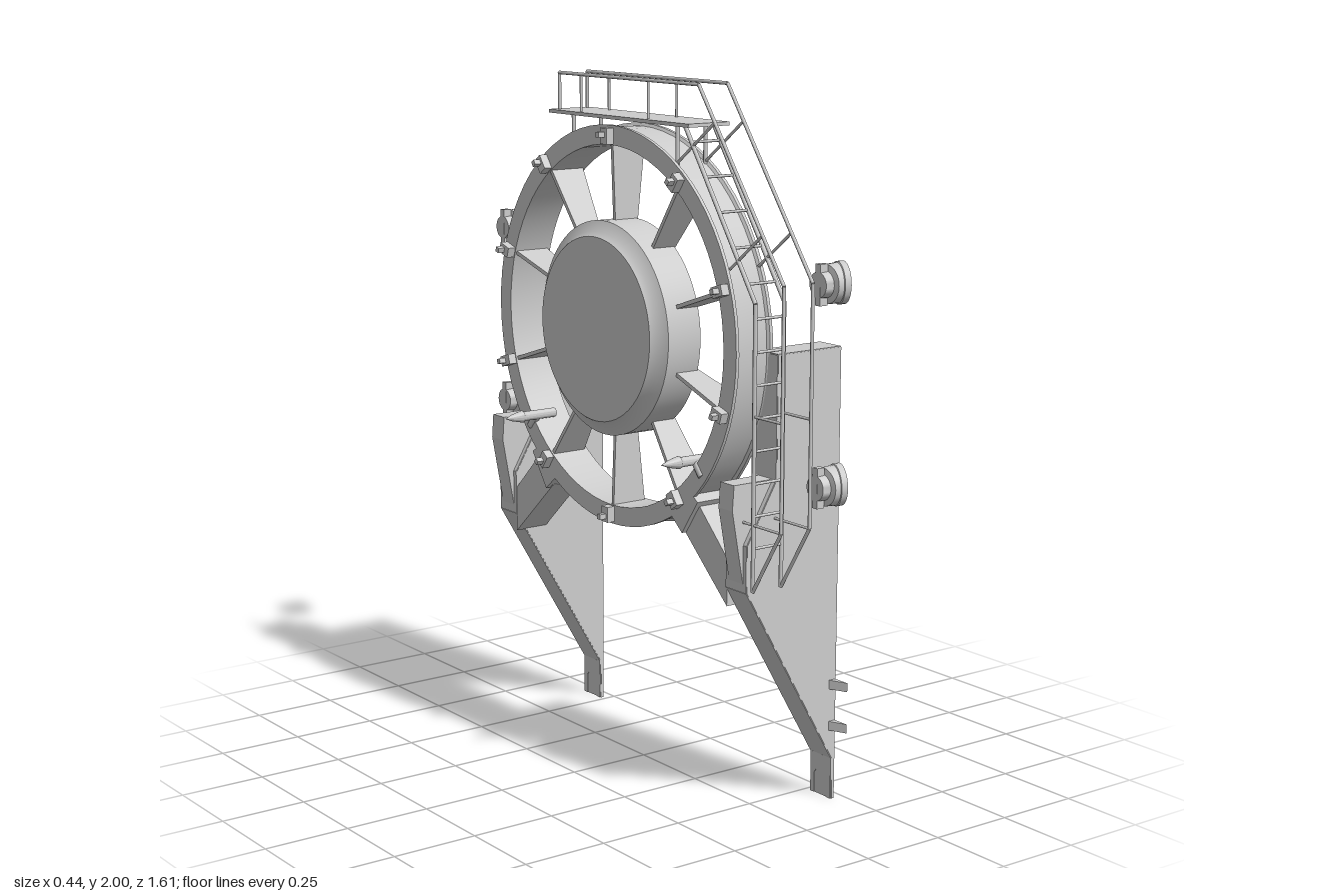
import * as THREE from 'three';
import { toCreasedNormals } from 'three/addons/utils/BufferGeometryUtils.js';

const CY = 1.295; // height of the wheel axis

export function createModel() {
  const root = new THREE.Group();
  const grey = new THREE.MeshStandardMaterial({ color: 0xcccccc, side: THREE.DoubleSide });
  grey.name = 'light grey';

  const group = (name) => {
    const g = new THREE.Group();
    g.name = name;
    root.add(g);
    return g;
  };
  const add = (parent, name, geo, x = 0, y = 0, z = 0) => {
    const m = new THREE.Mesh(geo, grey);
    m.name = name;
    m.position.set(x, y, z);
    parent.add(m);
    return m;
  };
  const box = (parent, name, w, h, d, x, y, z) => add(parent, name, new THREE.BoxGeometry(w, h, d), x, y, z);
  const extrude = (pts, depth) => new THREE.ExtrudeGeometry(
    new THREE.Shape(pts.map(([a, b]) => new THREE.Vector2(a, b))), { depth, bevelEnabled: false });
  // outline in x,y with thickness centred on z
  const sideways = (pts, depth) => extrude(pts, depth).translate(0, 0, -depth / 2);
  // outline in z,y running from x0 to x1
  const across = (pts, x0, x1) => extrude(pts, x1 - x0).rotateY(-Math.PI / 2).translate(x1, 0, 0);
  // [radius, x] profile turned around the x axis
  const turned = (pts, seg) => toCreasedNormals(
    new THREE.LatheGeometry(pts.map(([r, x]) => new THREE.Vector2(r, x)), seg).rotateZ(-Math.PI / 2), 0.5);
  const rod = (parent, name, a, b, r = 0.005) => {
    const p = new THREE.Vector3(...a), q = new THREE.Vector3(...b);
    const m = add(parent, name, new THREE.CylinderGeometry(r, r, p.distanceTo(q), 8));
    m.position.copy(p).add(q).multiplyScalar(0.5);
    m.quaternion.setFromUnitVectors(new THREE.Vector3(0, 1, 0), q.sub(p).normalize());
  };

  // Outer ring with thin lips at both edges
  const wheel = group('wheel');
  add(wheel, 'ring', turned([[0.515, -0.115], [0.57, -0.115], [0.57, -0.105], [0.562, -0.1], [0.562, -0.005],
    [0.57, 0], [0.57, 0.01], [0.515, 0.01], [0.515, -0.115]], 72), 0, CY, 0);

  // Hub: drum open towards +x
  add(wheel, 'hub', turned([[0, -0.172], [0.262, -0.172], [0.275, -0.155], [0.305, -0.14], [0.305, -0.03],
    [0.295, -0.03], [0.295, -0.14], [0, -0.15]], 64), 0, CY, 0);

  // Ten tapered struts with a clamp at the rim
  for (let i = 0; i < 10; i++) {
    const s = new THREE.Group();
    s.name = 'strut';
    s.position.y = CY;
    s.rotation.x = i * Math.PI / 5;
    wheel.add(s);
    add(s, 'strutBlade', sideways([[-0.1, 0.25], [-0.03, 0.25], [0, 0.52], [-0.11, 0.52]], 0.011));
    box(s, 'strutFoot', 0.06, 0.05, 0.02, -0.06, 0.275, 0);
    box(s, 'rimClamp', 0.025, 0.045, 0.03, -0.127, 0.54, 0);
    box(s, 'clampBolt', 0.03, 0.015, 0.015, -0.145, 0.545, 0);
  }

  // Hollow pillars, open towards +x
  const profile = [[0.22, 1.29], [0, 1.29], [0, 0.95], [-0.1, 0.78], [-0.1, 0.65], [0.21, 0.12], [0.212, 0], [0.22, 0]];
  for (const s of [1, -1]) {
    const pillar = group(s > 0 ? 'frontPillar' : 'rearPillar');
    pillar.position.z = s * 0.56;
    for (const e of [1, -1]) add(pillar, 'pillarWall', sideways(profile, 0.006), 0, 0, e * 0.042);
    for (let i = 0; i < 6; i++) {
      const [ax, ay] = profile[i], [bx, by] = profile[i + 1];
      const m = box(pillar, 'pillarSkin', Math.hypot(bx - ax, by - ay), 0.005, 0.088, (ax + bx) / 2, (ay + by) / 2, 0);
      m.rotation.z = Math.atan2(by - ay, bx - ax);
    }
    add(pillar, 'pillarNose', sideways([[0, 0.95], [-0.135, 0.95], [-0.14, 0.88], [-0.1, 0.66], [-0.09, 0.68]], 0.06));
    // Forked foot
    add(pillar, 'foot', across([[-0.042, 0], [-0.026, 0], [-0.026, 0.06], [-0.018, 0.07], [0.018, 0.07],
      [0.026, 0.06], [0.026, 0], [0.042, 0], [0.042, 0.12], [-0.042, 0.12]], 0.207, 0.219));
    // Wedge lugs
    for (const y of [0.218, 0.338]) {
      const lug = extrude([[0.195, -s * 0.042], [0.219, -s * 0.042], [0.219, -s * 0.096]], 0.026).rotateX(-Math.PI / 2);
      add(pillar, 'lug', lug, 0, y - 0.013, 0);
    }

    // Diagonal brace and its collar under the ring
    const brace = group(s > 0 ? 'frontBrace' : 'rearBrace');
    add(brace, 'braceArm', across([[s * 0.518, 0.595], [s * 0.518, 0.73], [s * 0.395, 0.85], [s * 0.32, 0.775]], -0.1, 0.005));
    add(brace, 'braceCollar', across([[s * 0.405, 0.865], [s * 0.335, 0.765], [s * 0.28, 0.81], [s * 0.355, 0.9]], -0.115, 0.012));
    add(brace, 'braceGusset', sideways([[-0.1, 0.66], [0.035, 0.66], [0.01, 0.73], [-0.1, 0.73]], 0.012), 0, 0, s * 0.51);
    // Pointed pin beside the brace
    add(brace, 'pin', turned([[0, -0.225], [0.01, -0.2], [0.018, -0.165], [0.014, -0.155], [0.014, -0.05], [0, -0.05]], 16),
      0, 0.98, s * 0.385);
    rod(brace, 'pinBracket', [-0.11, 0.98, s * 0.385], [-0.11, 0.94, s * 0.42], 0.012);
  }

  // Four lamps with slanted ends
  for (const z of [0.75, -0.75]) {
    for (const y of [1.495, 0.953]) {
      const lamp = group('lamp');
      const geo = new THREE.LatheGeometry([[0, 0.01], [0.034, 0.01], [0.036, 0.035], [0.052, 0.038], [0.054, 0.075],
        [0.057, 0.077], [0.057, 0.098], [0, 0.098]].map(([r, x]) => new THREE.Vector2(r, x)), 28).rotateZ(-Math.PI / 2);
      const p = geo.attributes.position;
      for (let i = 0; i < p.count; i++) if (p.getX(i) > 0.05) p.setX(i, p.getX(i) - 0.38 * p.getZ(i));
      add(lamp, 'lampBody', toCreasedNormals(geo, 0.5), 0, y, z);
      box(lamp, 'lampBracket', 0.025, 0.11, 0.02, 0.022, y, z);
    }
  }

  // Service platform on top
  const access = group('accessWay');
  box(access, 'platform', 0.14, 0.01, 0.66, -0.055, 1.887, 0.04);
  for (const z of [0.29, -0.2]) {
    for (const x of [-0.1, -0.005]) rod(access, 'platformLeg', [x, 1.887, z], [x, CY + Math.sqrt(0.3136 - z * z), z], 0.006);
  }

  // Ladder stringers and guard rails: [z, y] paths on both sides
  const guard = [[-0.268, 1.887], [-0.268, 1.996], [0.385, 1.996], [0.748, 1.5], [0.748, 0.845], [0.632, 0.66]];
  const ladder = [[0.632, 0.66], [0.632, 1.44], [0.325, 1.885]];
  const ties = [[0.16, 1.887, 0.16, 1.996], [-0.16, 1.887, -0.16, 1.996], [0.455, 1.9, 0.29, 1.78],
    [0.655, 1.62, 0.525, 1.52], [0.748, 1.14, 0.632, 1.14], [0.748, 0.845, 0.59, 0.845]];
  for (const x of [-0.102, -0.005]) {
    for (let i = 0; i < 5; i++) rod(access, 'guardRail', [x, guard[i][1], guard[i][0]], [x, guard[i + 1][1], guard[i + 1][0]]);
    for (let i = 0; i < 2; i++) rod(access, 'stringer', [x, ladder[i][1], ladder[i][0]], [x, ladder[i + 1][1], ladder[i + 1][0]], 0.006);
    for (const [z0, y0, z1, y1] of ties) rod(access, 'railTie', [x, y0, z0], [x, y1, z1], 0.004);
  }
  // Rungs, evenly stepped in height
  for (let y = 0.78; y < 1.88; y += 0.0885) {
    const z = y < 1.44 ? 0.632 : 0.632 - (y - 1.44) * 0.69;
    rod(access, 'rung', [-0.102, y, z], [-0.005, y, z], 0.004);
  }

  return root;
}
